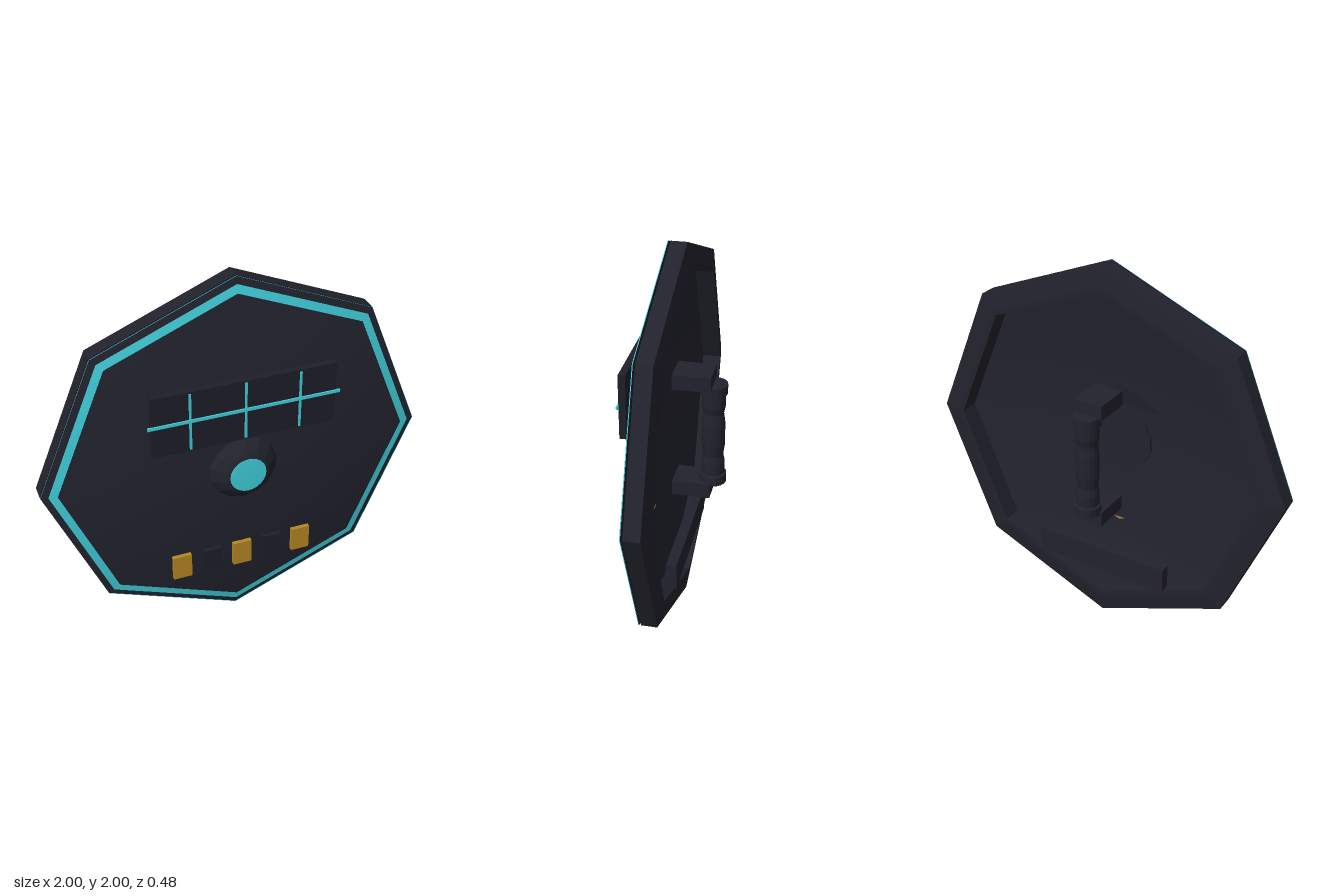
import * as THREE from 'three';

const mat = (name, color, extra = {}) => {
  const m = new THREE.MeshStandardMaterial({ color, ...extra });
  m.name = name;
  return m;
};

export function createModel() {
  const dark = mat('dark shell', 0x22232e, { side: THREE.DoubleSide });
  const frame = mat('dark frame', 0x21222c, { flatShading: true, side: THREE.DoubleSide });
  const visor = mat('dark panel', 0x1e1f28);
  const cyan = mat('cyan glow', 0x40d0dc, { side: THREE.DoubleSide });
  const gold = mat('gold', 0xb58622);

  const group = new THREE.Group();
  const shield = new THREE.Group();
  shield.name = 'shield';
  shield.position.y = 1;
  group.add(shield);

  const add = (name, geo, material, x = 0, y = 0, z = 0) => {
    const mesh = new THREE.Mesh(geo, material);
    mesh.name = name;
    mesh.position.set(x, y, z);
    shield.add(mesh);
    return mesh;
  };
  // box given by its centre in x and y, and its back and front in z
  const box = (name, material, x, y, w, h, back, front) =>
    add(name, new THREE.BoxGeometry(w, h, front - back), material, x, y, (back + front) / 2);
  // profile of [radius, z] turned about the front-back axis
  const turn = (name, material, profile, sides) => {
    const geo = new THREE.LatheGeometry(profile.map(([r, z]) => new THREE.Vector2(r, z)), sides);
    return add(name, geo.rotateX(Math.PI / 2), material);
  };

  // curved octagonal face, open at the back
  const domeZ = r => 0.06 + 0.11 * (1 - r * r);
  const profile = [];
  for (let i = 0; i <= 16; i++) {
    const r = 1 - i / 16;
    profile.push([r, domeZ(r)]);
  }
  turn('face', dark, profile, 8);

  // rim behind the face
  turn('rim', frame, [[0.87, -0.047], [0.9, -0.047], [1, -0.03], [1, 0.05], [0.87, 0.05], [0.87, -0.047]], 8);

  // glowing border and fine edge line
  turn('border', cyan, [[0.962, domeZ(0.962) + 0.004], [0.918, domeZ(0.918) + 0.004]], 8);
  turn('edgeLine', cyan, [[0.999, 0.06], [0.999, 0.064]], 8);

  // viewing panel with its grid
  box('panel', visor, 0, 0.355, 0.94, 0.33, 0.16, 0.195);
  box('panelCrossbar', cyan, 0, 0.36, 0.98, 0.016, 0.193, 0.202);
  for (const x of [-0.28, 0, 0.28]) box('panelBar', cyan, x, 0.355, 0.012, 0.31, 0.193, 0.2);

  // central boss and lamp
  turn('boss', frame, [[0, 0.15], [0.18, 0.15], [0.18, 0.165], [0.155, 0.195], [0.12, 0.225], [0.09, 0.237], [0, 0.237]], 14);
  turn('lamp', cyan, [[0.095, 0.236], [0.093, 0.24], [0, 0.24]], 24);

  // row of tiles
  for (let i = -2; i <= 2; i++)
    box('tile', i % 2 ? visor : gold, i * 0.165, -0.56, 0.1, 0.14, 0.142, 0.165);

  // grip on the back, between two brackets
  const grip = [[0, -0.28], [0.07, -0.28], [0.07, -0.23], [0.06, -0.225], [0.06, -0.16], [0.052, -0.12],
    [0.06, -0.06], [0.06, 0.06], [0.052, 0.12], [0.06, 0.16], [0.06, 0.225], [0.07, 0.23], [0.07, 0.28], [0, 0.28]];
  add('grip', new THREE.LatheGeometry(grip.map(p => new THREE.Vector2(...p)), 16), frame, 0, 0, -0.167);
  for (const s of [1, -1]) box('gripBracket', frame, 0, s * 0.305, 0.16, 0.08, -0.165, 0.03);

  // lower brace on the back
  box('brace', frame, 0, -0.65, 0.76, 0.14, -0.055, 0);

  return group;
}
